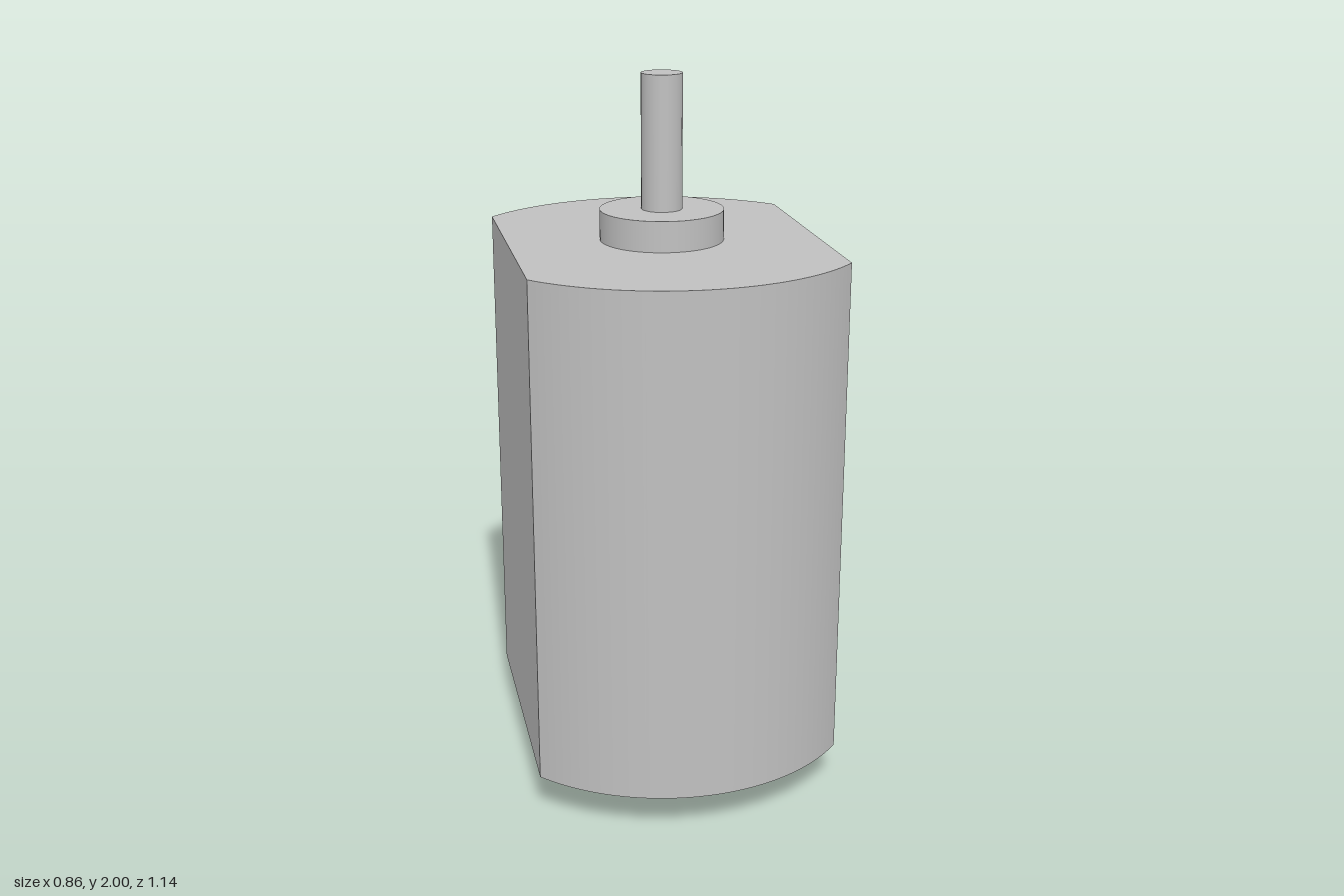
import * as THREE from 'three';
import { toCreasedNormals } from 'three/addons/utils/BufferGeometryUtils.js';

const BODY_RADIUS = 0.572;
const FLAT_X = 0.428;

export function createModel() {
  const group = new THREE.Group();
  group.name = 'electricMotor';

  const metal = new THREE.MeshStandardMaterial({ color: 0xc0c0c0 });
  metal.name = 'grey metal';

  // Upright cylinder spanning two heights
  function addCylinder(name, radius, bottom, top, sides) {
    const geometry = new THREE.CylinderGeometry(radius, radius, top - bottom, sides);
    const mesh = new THREE.Mesh(geometry, metal);
    mesh.position.y = (bottom + top) / 2;
    mesh.name = name;
    group.add(mesh);
  }

  // Motor can: round front and back, flat left and right sides
  const corner = Math.acos(FLAT_X / BODY_RADIUS);
  const outline = new THREE.Shape();
  outline.absarc(0, 0, BODY_RADIUS, corner, Math.PI - corner, false);
  outline.absarc(0, 0, BODY_RADIUS, Math.PI + corner, 2 * Math.PI - corner, false);
  outline.closePath();
  const can = new THREE.ExtrudeGeometry(outline, { depth: 1.43, bevelEnabled: false, curveSegments: 24 });
  can.rotateX(-Math.PI / 2);
  const body = new THREE.Mesh(toCreasedNormals(can, 0.4), metal);
  body.position.y = 0.115;
  body.name = 'motorCan';
  group.add(body);

  // Rear boss, front bearing boss and output shaft
  addCylinder('rearBoss', 0.227, 0, 0.115, 48);
  addCylinder('bearingBoss', 0.172, 1.545, 1.63, 48);
  addCylinder('shaft', 0.057, 1.63, 2, 24);

  return group;
}
